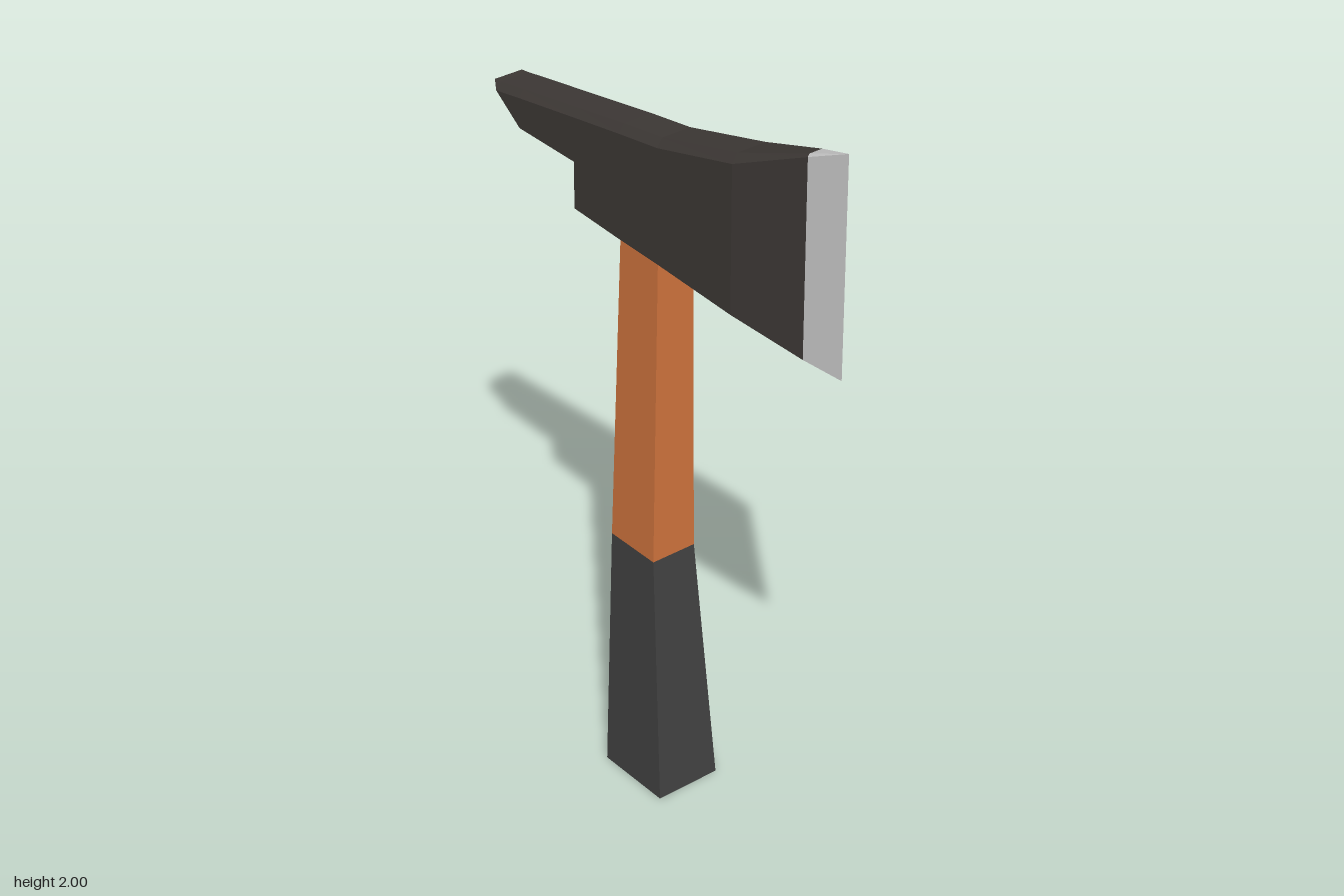
import * as THREE from 'three';

// Skins a list of matching rings (counter-clockwise seen from the last ring) and caps both ends
function loft(rings) {
  const pos = [];
  const tri = (a, b, c) => {
    const area = b.clone().sub(a).cross(c.clone().sub(a)).length();
    if (area > 1e-7) for (const v of [a, b, c]) pos.push(v.x, v.y, v.z);
  };
  const n = rings[0].length;
  for (let r = 0; r < rings.length - 1; r++) {
    const lo = rings[r], hi = rings[r + 1];
    for (let i = 0; i < n; i++) {
      const j = (i + 1) % n;
      tri(lo[i], lo[j], hi[j]);
      tri(lo[i], hi[j], hi[i]);
    }
  }
  const first = rings[0], last = rings[rings.length - 1];
  for (let i = 1; i < n - 1; i++) {
    tri(first[0], first[i + 1], first[i]);
    tri(last[0], last[i], last[i + 1]);
  }
  const geo = new THREE.BufferGeometry();
  geo.setAttribute('position', new THREE.Float32BufferAttribute(pos, 3));
  geo.computeVertexNormals();
  return geo;
}

// Head section: flat sides up to a shoulder, then a bevel to a narrower top
function headRing([z, bottom, shoulder, top, half, topHalf]) {
  return [
    [-half, bottom], [half, bottom], [half, shoulder],
    [topHalf, top], [-topHalf, top], [-half, shoulder],
  ].map(([x, y]) => new THREE.Vector3(x, y, z));
}

// Handle section: a rectangle at height y
function handleRing([y, half, back, front]) {
  return [[-half, front], [half, front], [half, back], [-half, back]]
    .map(([x, z]) => new THREE.Vector3(x, y, z));
}

export function createModel() {
  const group = new THREE.Group();
  const add = (name, rings, color) => {
    const material = new THREE.MeshStandardMaterial({ color, flatShading: true });
    const mesh = new THREE.Mesh(loft(rings), material);
    mesh.name = name;
    group.add(mesh);
  };

  // Handle: flared grip below, tapering wooden shaft above
  const gripTop = [0.675, 0.063, -0.14, 0.022];
  add('grip', [[0, 0.09, -0.135, 0.08], gripTop].map(handleRing), 0x424242);
  add('shaft', [gripTop, [1.51, 0.052, -0.11, 0.028]].map(handleRing), 0xd6773f);

  // Head from the rear spike, over the stepped poll, to the flaring blade
  const bladeEnd = [0.5, 1.455, 1.957, 1.964, 0.022, 0.018];
  add('axeHead', [
    [-0.605, 1.72, 1.72, 1.72, 0.04, 0.04],
    [-0.58, 1.704, 1.704, 1.723, 0.055, 0.04],
    [-0.49, 1.64, 1.719, 1.738, 0.055, 0.04],
    [-0.28, 1.637, 1.752, 1.772, 0.055, 0.04],
    [-0.28, 1.514, 1.752, 1.772, 0.055, 0.04],
    [-0.11, 1.505, 1.778, 1.8, 0.055, 0.04],
    [0.03, 1.5, 1.798, 1.82, 0.055, 0.04],
    [0.29, 1.486, 1.865, 1.888, 0.055, 0.04],
    bladeEnd,
  ].map(headRing), 0x3f3a37);

  // Bright wedge narrowing to the cutting edge
  add('cuttingEdge', [bladeEnd, [0.605, 1.442, 2, 2, 0, 0]].map(headRing), 0xcccccc);

  return group;
}
